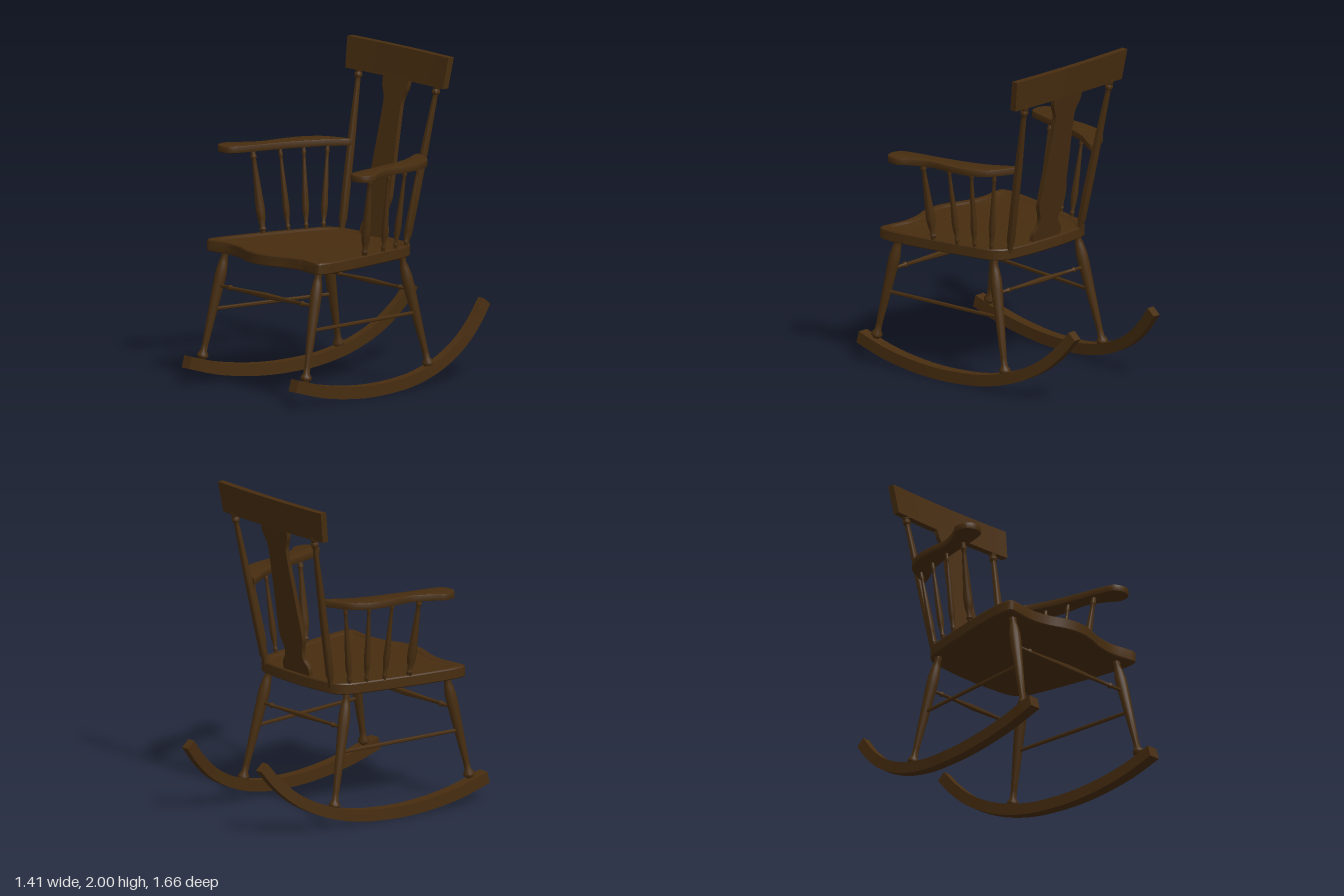
import * as THREE from 'three';
import { toCreasedNormals } from 'three/addons/utils/BufferGeometryUtils.js';

const V = (x, y, z) => new THREE.Vector3(x, y, z);
const wood = new THREE.MeshStandardMaterial({ color: 0x472d10 });
wood.name = 'dark wood';

function add(group, name, geometry, crease = 0.6) {
  const mesh = new THREE.Mesh(toCreasedNormals(geometry, crease), wood);
  mesh.name = name;
  group.add(mesh);
  return mesh;
}

// Skin a list of equal-sized rings and close both ends with fans
function loft(rings) {
  const tris = [];
  const n = rings[0].length;
  const centre = r => r.reduce((s, p) => s.add(p), V(0, 0, 0)).divideScalar(n);
  for (let i = 0; i < rings.length - 1; i++) {
    for (let j = 0; j < n; j++) {
      const k = (j + 1) % n;
      const [a, b, c, d] = [rings[i][j], rings[i][k], rings[i + 1][k], rings[i + 1][j]];
      tris.push([a, b, c], [a, c, d]);
    }
  }
  const first = rings[0], last = rings[rings.length - 1];
  const c0 = centre(first), c1 = centre(last);
  for (let j = 0; j < n; j++) {
    const k = (j + 1) % n;
    tris.push([c0, first[k], first[j]], [c1, last[j], last[k]]);
  }
  // Turn the faces outward if the enclosed volume is negative
  const volume = tris.reduce((s, [a, b, c]) => s + a.dot(b.clone().cross(c)), 0);
  if (volume < 0) tris.forEach(t => t.reverse());
  return new THREE.BufferGeometry().setFromPoints(tris.flat());
}

// Turned part from a to b; the profile holds [radius, fraction of length]
function turned(group, name, a, b, profile, scale = 1) {
  const length = a.distanceTo(b);
  const pts = profile.map(([r, t]) => new THREE.Vector2(r * scale, t * length));
  pts.unshift(new THREE.Vector2(0, 0));
  pts.push(new THREE.Vector2(0, length));
  const mesh = add(group, name, new THREE.LatheGeometry(pts, 16), 0.8);
  mesh.position.copy(a);
  mesh.quaternion.setFromUnitVectors(V(0, 1, 0), b.clone().sub(a).normalize());
}

// Smooth closed outline through [x, z] points
function outline(points, count) {
  const curve = new THREE.CatmullRomCurve3(points.map(([x, z]) => V(x, 0, z)), true);
  return curve.getPoints(count).slice(0, -1);
}

const legProfile = [[0.018, 0], [0.02, 0.05], [0.034, 0.07], [0.034, 0.09], [0.02, 0.12],
  [0.019, 0.18], [0.027, 0.45], [0.035, 0.72], [0.035, 0.8], [0.027, 0.88], [0.019, 0.93], [0.022, 0.95], [0.018, 1]];
const spindleProfile = [[0.014, 0], [0.014, 0.06], [0.02, 0.08], [0.013, 0.11], [0.022, 0.2],
  [0.026, 0.3], [0.022, 0.45], [0.013, 0.8], [0.012, 0.87], [0.018, 0.9], [0.013, 0.93], [0.013, 1]];
const postProfile = [[0.018, 0], [0.018, 0.05], [0.025, 0.08], [0.025, 0.3], [0.023, 0.6], [0.016, 0.9],
  [0.015, 0.93], [0.024, 0.94], [0.024, 0.955], [0.018, 0.965], [0.023, 0.975], [0.018, 1]];
const railProfile = [[0.011, 0], [0.011, 0.11], [0.018, 0.12], [0.018, 0.13], [0.011, 0.14],
  [0.012, 0.25], [0.019, 0.5], [0.012, 0.75], [0.011, 0.86], [0.018, 0.87], [0.018, 0.88], [0.011, 0.89], [0.011, 1]];

function seat(group) {
  const half = [[0.1, 0.68], [0.22, 0.637], [0.35, 0.62], [0.46, 0.635], [0.53, 0.635], [0.545, 0.58],
    [0.527, 0.4], [0.48, 0.15], [0.435, -0.05], [0.405, -0.16], [0.35, -0.225], [0.22, -0.25]];
  const mirrored = half.map(([x, z]) => [-x, z]).reverse();
  const edge = outline([[0, 0.695], ...half, [0, -0.26], ...mirrored], 104);
  // Height and inset of each ring, ending in the shallow dished top
  const rings = [[0.8, 0.99], [0.806, 1], [0.862, 1], [0.87, 0.99], [0.87, 0.92], [0.86, 0.89], [0.856, 0.5]]
    .map(([y, s]) => edge.map(p => V(p.x * s, y, 0.2 + (p.z - 0.2) * s)));
  add(group, 'seat', loft(rings), 0.5);
}

function rocker(group, s) {
  const path = new THREE.CatmullRomCurve3([[0.81, 0.14], [0.6, 0.082], [0.4, 0.05], [0.2, 0.035], [0, 0.04],
    [-0.15, 0.055], [-0.32, 0.095], [-0.46, 0.15], [-0.6, 0.232], [-0.72, 0.34], [-0.81, 0.45]]
    .map(([z, y]) => V(0, y, z)));
  const rings = [];
  for (let i = 0; i <= 30; i++) {
    const t = i / 30;
    const p = path.getPoint(t), d = path.getTangent(t);
    const up = V(0, -d.z, d.y).multiplyScalar(0.038 - 0.005 * t);
    // Bend inward towards the rear
    const u = (0.83 - p.z) / 1.67;
    const x = s * (0.508 - 0.02 * u - 0.15 * u * u);
    const w = 0.036 - 0.01 * t;
    rings.push([[-w, 1], [w, 1], [w, -1], [-w, -1]].map(([dx, k]) => V(x + dx, p.y + up.y * k, p.z + up.z * k)));
  }
  add(group, 'rocker', loft(rings));
}

function arm(group, s) {
  const pts = outline([[0.315, -0.315], [0.417, -0.285], [0.505, -0.235], [0.57, -0.13], [0.594, 0], [0.605, 0.155],
    [0.66, 0.27], [0.703, 0.335], [0.695, 0.41], [0.64, 0.442], [0.57, 0.42], [0.537, 0.33], [0.505, 0.18],
    [0.46, 0], [0.403, -0.155], [0.346, -0.245]], 72);
  const shape = new THREE.Shape(pts.map(p => new THREE.Vector2(s * p.x, -p.z)));
  const geo = new THREE.ExtrudeGeometry(shape, { depth: 0.032, bevelThickness: 0.005, bevelSize: 0.005,
    bevelOffset: -0.005, bevelSegments: 2 });
  geo.rotateX(-Math.PI / 2).translate(0, 1.368, 0);
  add(group, 'armrest', geo);
}

// Vase-shaped back panel, sheared to the slope of the back
function splat(group) {
  const side = new THREE.SplineCurve([[0.118, 0.86], [0.117, 0.92], [0.085, 0.965], [0.082, 1.02], [0.105, 1.09],
    [0.106, 1.16], [0.094, 1.38], [0.083, 1.6], [0.085, 1.69], [0.115, 1.76], [0.12, 1.83]]
    .map(([x, y]) => new THREE.Vector2(x, y))).getPoints(50);
  const shape = new THREE.Shape([...side, ...side.map(p => new THREE.Vector2(-p.x, p.y)).reverse()]);
  const geo = new THREE.ExtrudeGeometry(shape, { depth: 0.028, bevelEnabled: false });
  const pos = geo.attributes.position;
  for (let i = 0; i < pos.count; i++) pos.setZ(i, pos.getZ(i) - 0.245 - (pos.getY(i) - 0.87) * 0.195);
  add(group, 'backSplat', geo);
}

// Gently curved top board
function crest(group) {
  const rings = [];
  for (let i = 0; i <= 20; i++) {
    const k = i / 10 - 1;
    const bow = 0.014 * k * k;
    rings.push([[0.463, 1.81, -0.402], [0.48, 2, -0.432], [0.48, 2, -0.475], [0.463, 1.81, -0.445]]
      .map(([x, y, z]) => V(x * k, y, z + bow)));
  }
  add(group, 'crestRail', loft(rings));
}

export function createModel() {
  const group = new THREE.Group();
  seat(group);
  splat(group);
  crest(group);

  for (const s of [1, -1]) {
    rocker(group, s);
    arm(group, s);
    // Legs, side rail and back post
    turned(group, 'frontLeg', V(s * 0.495, 0.115, 0.712), V(s * 0.44, 0.82, 0.556), legProfile);
    turned(group, 'rearLeg', V(s * 0.43, 0.08, -0.318), V(s * 0.358, 0.82, -0.148), legProfile);
    turned(group, 'sideStretcher', V(s * 0.469, 0.452, 0.637), V(s * 0.394, 0.452, -0.233),
      [[0.011, 0], [0.012, 0.5], [0.011, 1]]);
    turned(group, 'backPost', V(s * 0.303, 0.84, -0.228), V(s * 0.372, 1.83, -0.424), postProfile);
    // Arm spindles: bottom x, z, top x, z, thickness
    for (const [x0, z0, x1, z1, k] of [[0.478, 0.235, 0.56, 0.255, 1.1], [0.448, 0.065, 0.52, 0.075, 0.8],
      [0.42, -0.05, 0.485, -0.082, 0.8], [0.388, -0.155, 0.435, -0.23, 0.8]]) {
      turned(group, 'armSpindle', V(s * x0, 0.85, z0), V(s * x1, 1.38, z1), spindleProfile, k);
    }
  }

  // Cross rails between the legs
  turned(group, 'frontStretcher', V(-0.457, 0.595, 0.606), V(0.457, 0.595, 0.606), railProfile);
  turned(group, 'rearStretcher', V(-0.38, 0.595, -0.2), V(0.38, 0.595, -0.2), railProfile, 0.9);
  return group;
}
